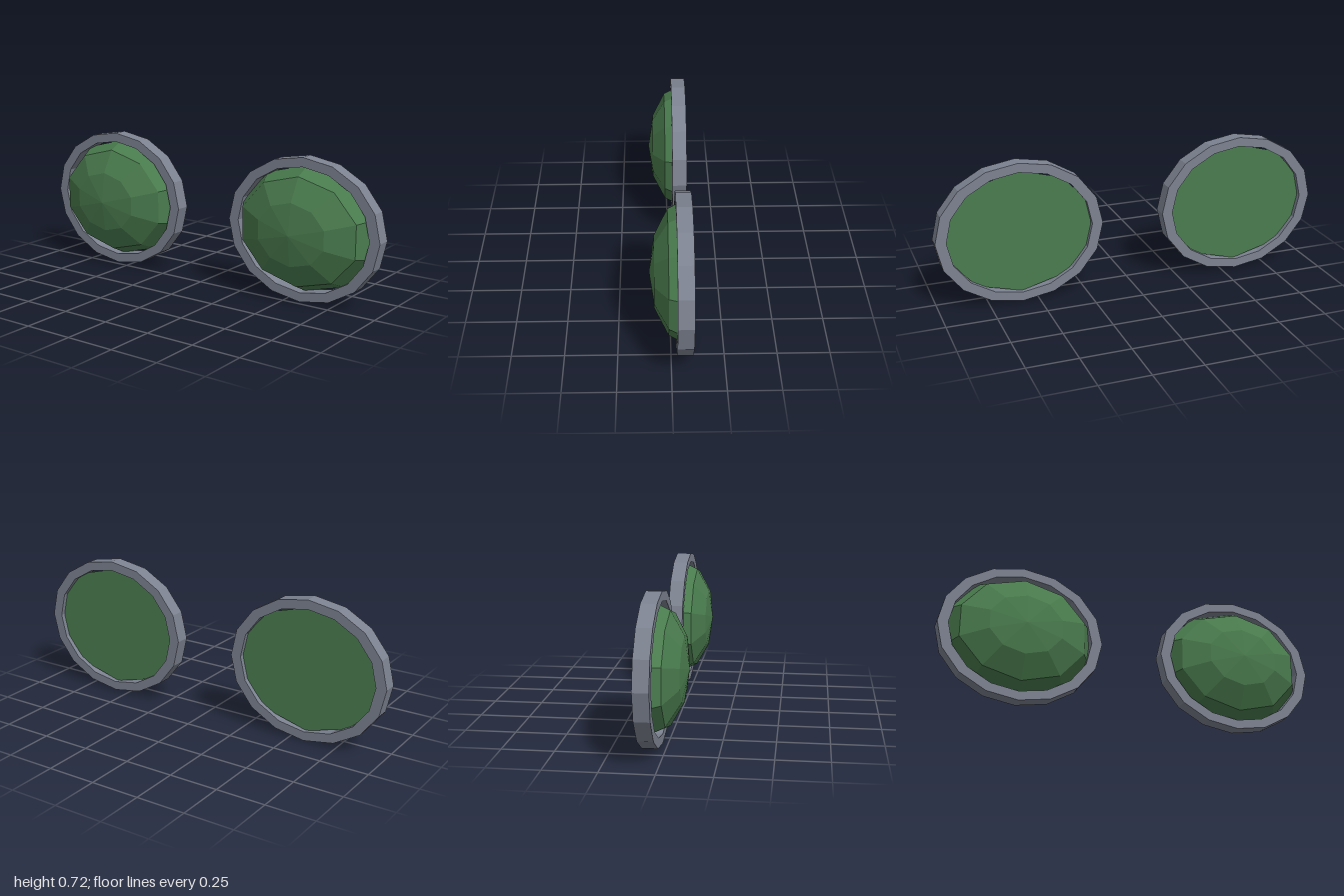
import * as THREE from 'three';

const CENTRE_X = 0.58, CENTRE_Y = 0.361;
const RX = 0.42, RY = 0.36; // outer radii of the oval rim

// Closed oval outline with straight sides
function oval(Type, rx, ry, sides) {
  const points = [];
  for (let i = 0; i < sides; i++) {
    const a = (i / sides) * Math.PI * 2;
    points.push(new THREE.Vector2(rx * Math.cos(a), ry * Math.sin(a)));
  }
  return new Type(points);
}

export function createModel() {
  const model = new THREE.Group();
  const rimMaterial = new THREE.MeshStandardMaterial({ color: 0x7c8290, flatShading: true });
  const lensMaterial = new THREE.MeshStandardMaterial({ color: 0x4a7c4e, flatShading: true });

  // Sixteen-sided flat rim with an open centre
  const outline = oval(THREE.Shape, RX, RY, 16);
  outline.holes.push(oval(THREE.Path, RX * 0.87, RY * 0.87, 16));
  const rimGeometry = new THREE.ExtrudeGeometry(outline, { depth: 0.075, bevelEnabled: false });
  rimGeometry.translate(0, 0, -0.1);

  // Ten-sided faceted dome, closed by a flat back
  const profile = [new THREE.Vector2(0, 0)];
  for (let i = 0; i <= 3; i++) {
    const a = (i * Math.PI) / 6;
    profile.push(new THREE.Vector2(i === 3 ? 0 : Math.cos(a), Math.sin(a)));
  }
  const lensGeometry = new THREE.LatheGeometry(profile, 10);
  lensGeometry.rotateX(Math.PI / 2);
  lensGeometry.scale(0.382, 0.315, 0.176);
  lensGeometry.translate(0, 0, -0.076);

  // One rimmed lens on each side
  for (const [side, sign] of [['left', 1], ['right', -1]]) {
    const eye = new THREE.Group();
    eye.name = side + 'Eye';
    const rim = new THREE.Mesh(rimGeometry, rimMaterial);
    rim.name = side + 'Rim';
    const lens = new THREE.Mesh(lensGeometry, lensMaterial);
    lens.name = side + 'Lens';
    eye.add(rim, lens);
    eye.position.set(sign * CENTRE_X, CENTRE_Y, 0);
    model.add(eye);
  }
  return model;
}
